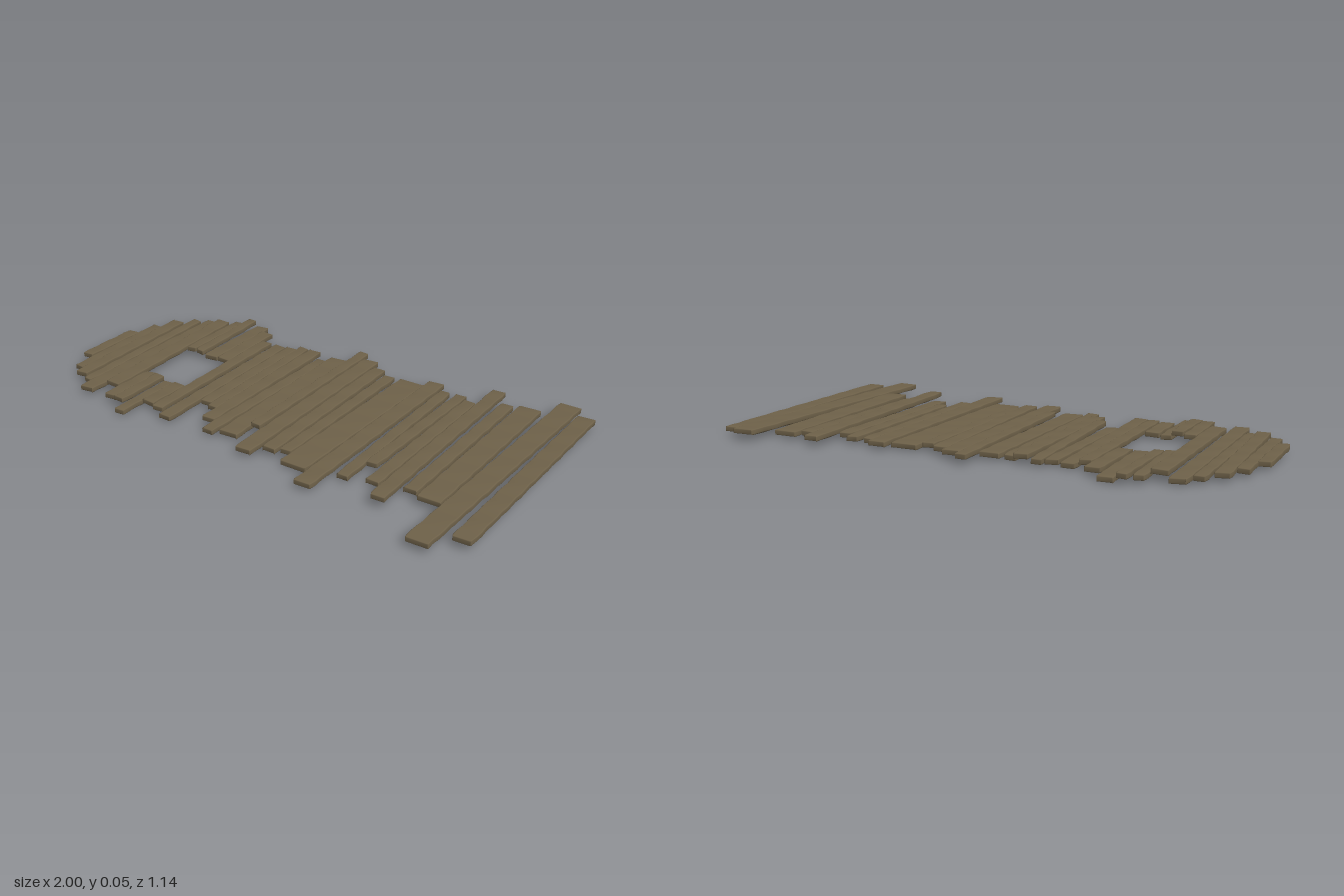
import * as THREE from 'three';
import { mergeVertices } from 'three/addons/utils/BufferGeometryUtils.js';

const THICK = 0.022;
const wood = new THREE.MeshStandardMaterial({ color: 0x6e6149, roughness: 0.9 });

// Each plank: [x at back end, x at front end, width, back z, front z, centre height]
const leftEnd = [
  [-0.995, -0.975, 0.048, -0.19, 0.10, 0.028],
  [-0.932, -0.926, 0.046, -0.30, 0.20, 0.024],
  [-0.888, -0.868, 0.054, -0.39, 0.25, 0.029],
  [-0.830, -0.820, 0.042, -0.45, 0.265, 0.022],
  [-0.770, -0.766, 0.062, -0.49, 0.33, 0.021],
  [-0.706, -0.695, 0.064, -0.48, 0.255, 0.036],
];
leftEnd[0][0] = -0.975;

// Short planks on both sides of the square opening
const openingBack = [
  [-0.655, -0.652, 0.040, -0.53, -0.185, 0.030],
  [-0.610, -0.608, 0.040, -0.567, -0.185, 0.034],
  [-0.550, -0.550, 0.060, -0.562, -0.185, 0.019],
  [-0.484, -0.484, 0.058, -0.50, -0.185, 0.026],
];
const openingFront = [
  [-0.633, -0.631, 0.050, 0.09, 0.34, 0.032],
  [-0.581, -0.583, 0.046, 0.10, 0.345, 0.036],
  [-0.537, -0.537, 0.042, 0.10, 0.395, 0.018],
  [-0.483, -0.484, 0.056, 0.10, 0.29, 0.024],
];

const walkway = [
  [-0.428, -0.424, 0.048, -0.42, 0.305, 0.027],
  [-0.372, -0.359, 0.054, -0.44, 0.34, 0.018],
  [-0.311, -0.311, 0.048, -0.44, 0.15, 0.019],
  [-0.266, -0.246, 0.044, -0.465, 0.195, 0.027],
  [-0.200, -0.205, 0.056, -0.45, 0.27, 0.030],
  [-0.147, -0.157, 0.048, -0.42, 0.34, 0.019],
  [-0.083, -0.083, 0.078, -0.45, 0.31, 0.022],
  [-0.020, -0.017, 0.044, -0.545, 0.23, 0.036],
  [0.041, 0.042, 0.068, -0.50, 0.39, 0.029],
  [0.107, 0.121, 0.056, -0.455, 0.34, 0.030],
  [0.175, 0.172, 0.048, -0.42, 0.31, 0.026],
  [0.266, 0.244, 0.107, -0.44, 0.37, 0.019],
  [0.358, 0.346, 0.068, -0.475, 0.465, 0.027],
  [0.420, 0.426, 0.046, -0.43, 0.34, 0.021],
  [0.488, 0.472, 0.046, -0.435, 0.22, 0.026],
  [0.541, 0.533, 0.052, -0.40, 0.315, 0.024],
  [0.601, 0.609, 0.057, -0.53, 0.415, 0.037],
  [0.673, 0.667, 0.052, -0.45, 0.295, 0.026],
  [0.756, 0.754, 0.090, -0.475, 0.33, 0.030],
  [0.881, 0.838, 0.086, -0.56, 0.565, 0.036],
  [0.963, 0.951, 0.070, -0.515, 0.48, 0.033],
];

// Worn plank: chamfered box with gently uneven edges
function plank([xBack, xFront, width, zBack, zFront, y], seed) {
  const length = zFront - zBack;
  const segs = Math.max(8, Math.round(length / 0.035));
  const geo = new THREE.BoxGeometry(width, THICK, length, 3, 3, segs);
  geo.deleteAttribute('normal');
  geo.deleteAttribute('uv');
  const half = [width / 2, THICK / 2, length / 2];
  const bevel = 0.0045;
  const pos = geo.attributes.position;
  for (let i = 0; i < pos.count; i++) {
    const p = pos.getX(i), q = pos.getY(i), r = pos.getZ(i);
    const c = [p, q, r];
    const outer = c.map((v, k) => Math.abs(v) > half[k] - 1e-5);
    const count = outer.filter(Boolean).length;
    // Move inner grid lines close to the edges, then cut the corners
    for (const k of [0, 1]) if (!outer[k]) c[k] = Math.sign(c[k]) * (half[k] - bevel);
    if (count > 1) c.forEach((v, k) => { if (outer[k]) c[k] -= Math.sign(v) * bevel * 0.4; });
    // Uneven long edges, surface and sawn ends
    c[0] += Math.sign(p) * 0.0016 * Math.sin(r * 61 + seed * 2.3 + Math.sign(p));
    c[1] += 0.0009 * Math.sin(r * 43 + seed * 1.7 + p * 70);
    if (outer[2]) c[2] += 0.003 * Math.sin(p * 120 + seed * 3.1);
    // Lay the plank between its two end positions
    const t = r / length + 0.5;
    const tilt = 0.003 * Math.sin(seed * 2.9) * (t - 0.5) * 2;
    pos.setXYZ(i, c[0] + xBack + (xFront - xBack) * t, c[1] + y + tilt, c[2] + (zBack + zFront) / 2);
  }
  const merged = mergeVertices(geo, 1e-5);
  merged.computeVertexNormals();
  return new THREE.Mesh(merged, wood);
}

export function createModel() {
  const model = new THREE.Group();
  model.name = 'plankPlatform';
  const sections = { leftEnd, openingBack, openingFront, walkway };
  let seed = 1;
  for (const [name, rows] of Object.entries(sections)) {
    const group = new THREE.Group();
    group.name = name;
    rows.forEach((row, i) => {
      const mesh = plank(row, seed++);
      mesh.name = `${name}Plank${i + 1}`;
      group.add(mesh);
    });
    model.add(group);
  }
  // Rest the lowest plank on the ground
  const box = new THREE.Box3().setFromObject(model);
  model.position.y = -box.min.y + 0.002;
  return model;
}
